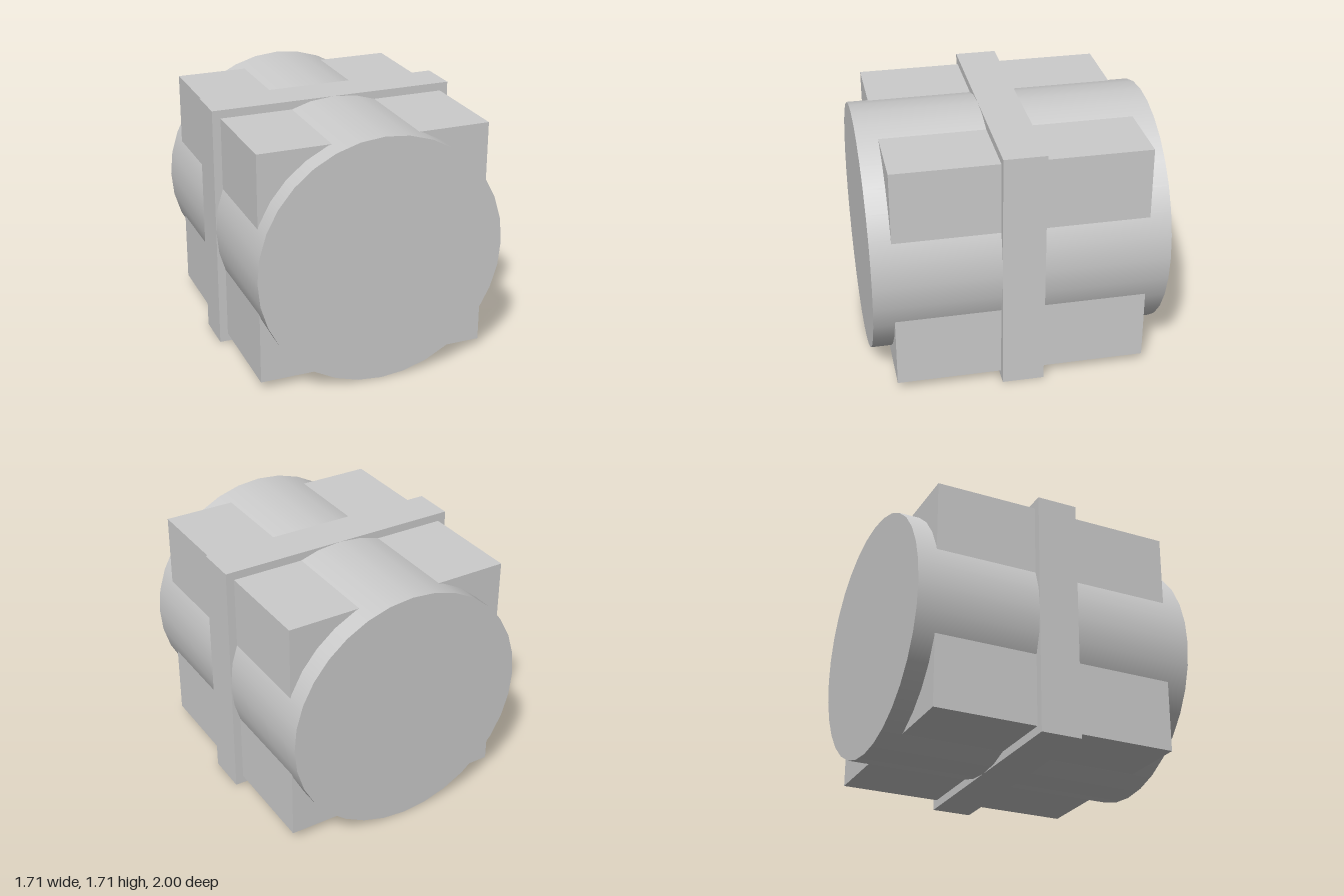
import * as THREE from 'three';

export function createModel() {
  const group = new THREE.Group();
  const grey = new THREE.MeshStandardMaterial({ color: 0xcccccc });
  grey.name = 'light grey';

  const R = 0.857; // drum radius, also the height of the centre

  const add = (name, geometry) => {
    const mesh = new THREE.Mesh(geometry, grey);
    mesh.name = name;
    mesh.position.y = R;
    group.add(mesh);
  };

  // Smooth drum lying along z
  add('drum', new THREE.CylinderGeometry(R, R, 2, 32).rotateX(Math.PI / 2));

  // Square block around the drum, its corners standing out
  add('block', new THREE.BoxGeometry(1.6, 1.6, 2 * R));

  // Wider square band around the middle
  add('middleBand', new THREE.BoxGeometry(2 * R, 2 * R, 0.286));

  return group;
}
